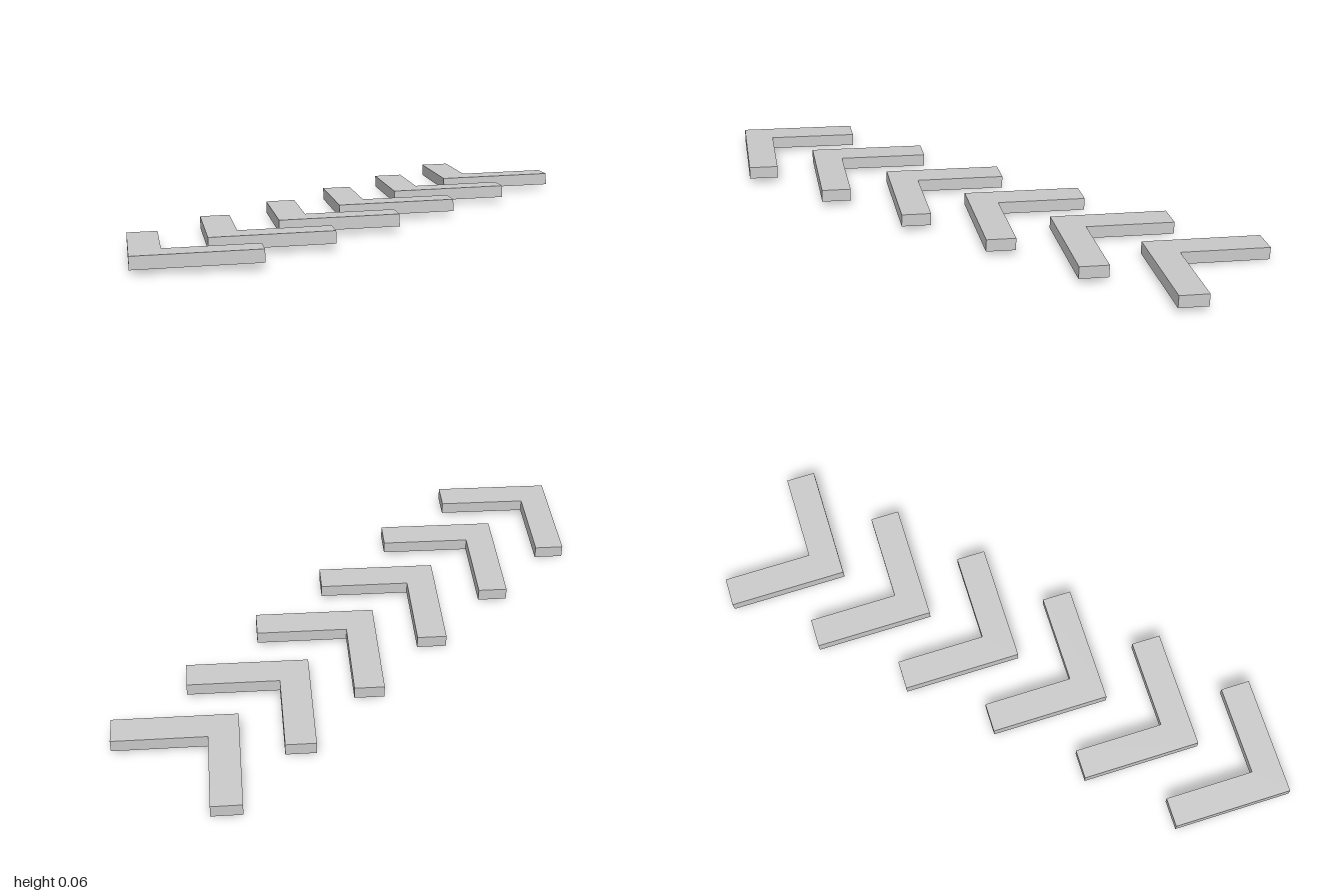
import * as THREE from 'three';

const ARM = 0.386, WIDTH = 0.095, THICK = 0.04;

// Square-cornered L, turned so that its corner points to the front
function chevronGeometry() {
  const shape = new THREE.Shape([
    [0, 0], [ARM, 0], [ARM, WIDTH], [WIDTH, WIDTH], [WIDTH, ARM], [0, ARM],
  ].map(([x, y]) => new THREE.Vector2(x, y)));
  const geometry = new THREE.ExtrudeGeometry(shape, { depth: THICK, bevelEnabled: false });
  geometry.rotateZ(THREE.MathUtils.degToRad(43));
  geometry.rotateX(-Math.PI / 2);
  return geometry;
}

export function createModel() {
  const model = new THREE.Group();
  model.name = 'chevronRow';
  const material = new THREE.MeshStandardMaterial({ color: 0xcccccc, flatShading: true });
  const geometry = chevronGeometry();

  // Tip positions [x, z] along a gently bending row, front to back
  const tips = [
    [-0.037, 0.996], [-0.018, 0.667], [-0.003, 0.333],
    [0.005, 0.008], [0.011, -0.323], [0.016, -0.653],
  ];
  tips.forEach(([x, z], i) => {
    const chevron = new THREE.Mesh(geometry, material);
    chevron.name = `chevron${i + 1}`;
    chevron.position.set(x, 0, z);
    model.add(chevron);
  });

  // The whole row leans slightly to one side
  model.rotation.set(-0.003, 0, 0.0347);
  model.position.y = 0.0118;
  return model;
}
